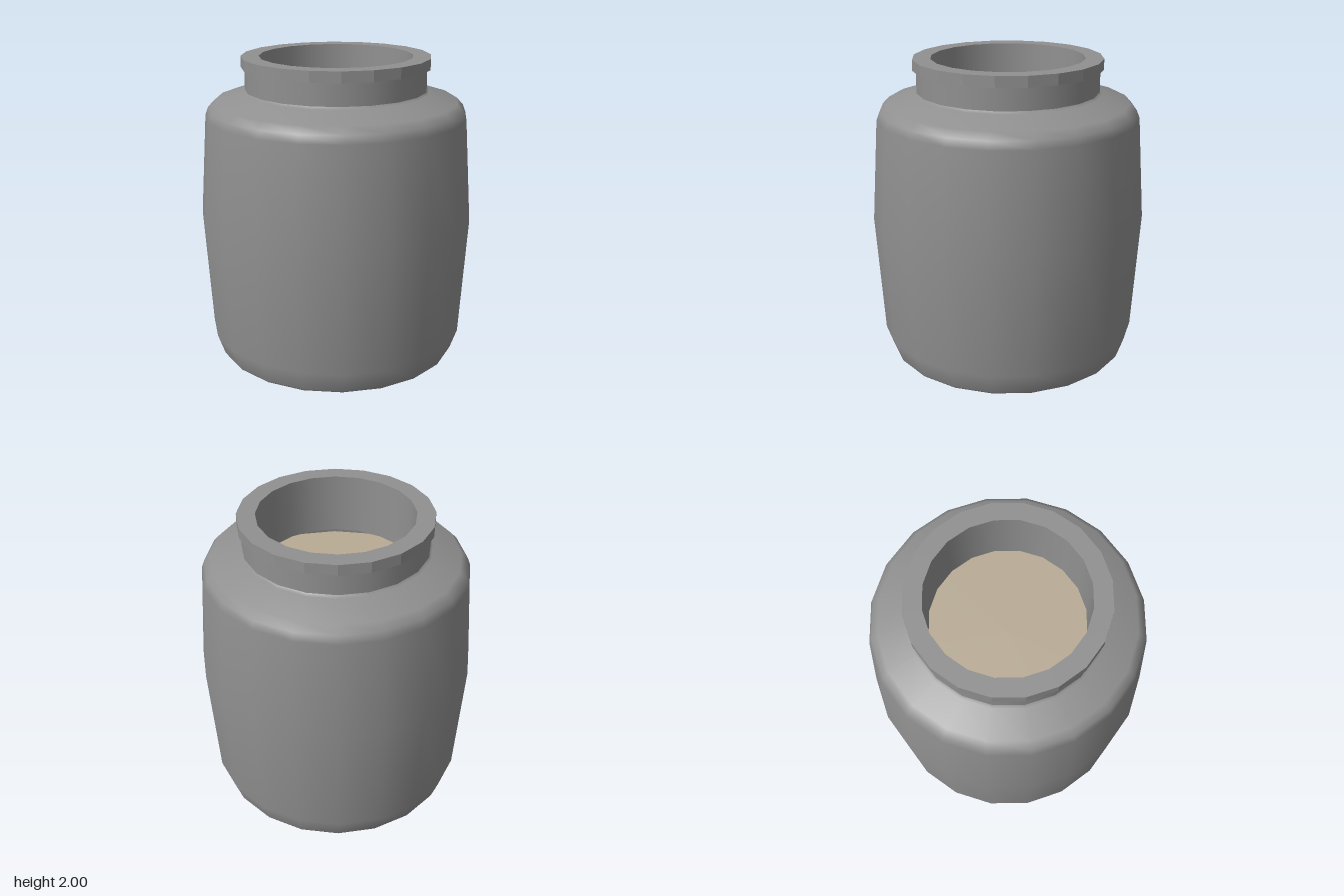
import * as THREE from 'three';

const SIDES = 20;
const grey = new THREE.MeshStandardMaterial({ color: 0x909090 });
const greyFlat = new THREE.MeshStandardMaterial({ color: 0x909090, flatShading: true });
const fill = new THREE.MeshStandardMaterial({ color: 0xb8ab95 });

// Revolve a [radius, height] profile; smooth inside one profile, sharp between profiles.
function turned(name, profile, material = grey) {
  const points = profile.map(([r, y]) => new THREE.Vector2(r, y));
  const geometry = new THREE.LatheGeometry(points, SIDES);
  geometry.normalizeNormals();
  const mesh = new THREE.Mesh(geometry, material);
  mesh.name = name;
  return mesh;
}

export function createModel() {
  const jar = new THREE.Group();
  jar.name = 'jar';

  jar.add(
    // Outside, from the base up to the rim
    turned('base', [[0, 0], [0.8, 0]], greyFlat),
    turned('body', [
      [0.8, 0], [0.81, 0.015], [0.857, 0.15], [0.905, 0.95],
      [0.857, 1.62], [0.838, 1.67], [0.795, 1.715], [0.61, 1.77], [0.595, 1.785],
    ]),
    turned('neck', [[0.595, 1.785], [0.595, 1.93]]),
    turned('rim', [[0.595, 1.93], [0.617, 1.93], [0.617, 2], [0.5, 2]], greyFlat),

    // Inside: neck wall, then the hollow behind the shoulder
    turned('innerNeck', [[0.5, 2], [0.493, 1.61]]),
    turned('innerBody', [
      [0.493, 1.61], [0.72, 1.58], [0.78, 1.5], [0.82, 0.95], [0.77, 0.15], [0.72, 0.08],
    ]),
    turned('innerFloor', [[0.72, 0.08], [0, 0.08]], greyFlat),

    // Surface of the contents
    turned('contents', [[0.785, 1.43], [0, 1.43]], fill),
  );
  return jar;
}
